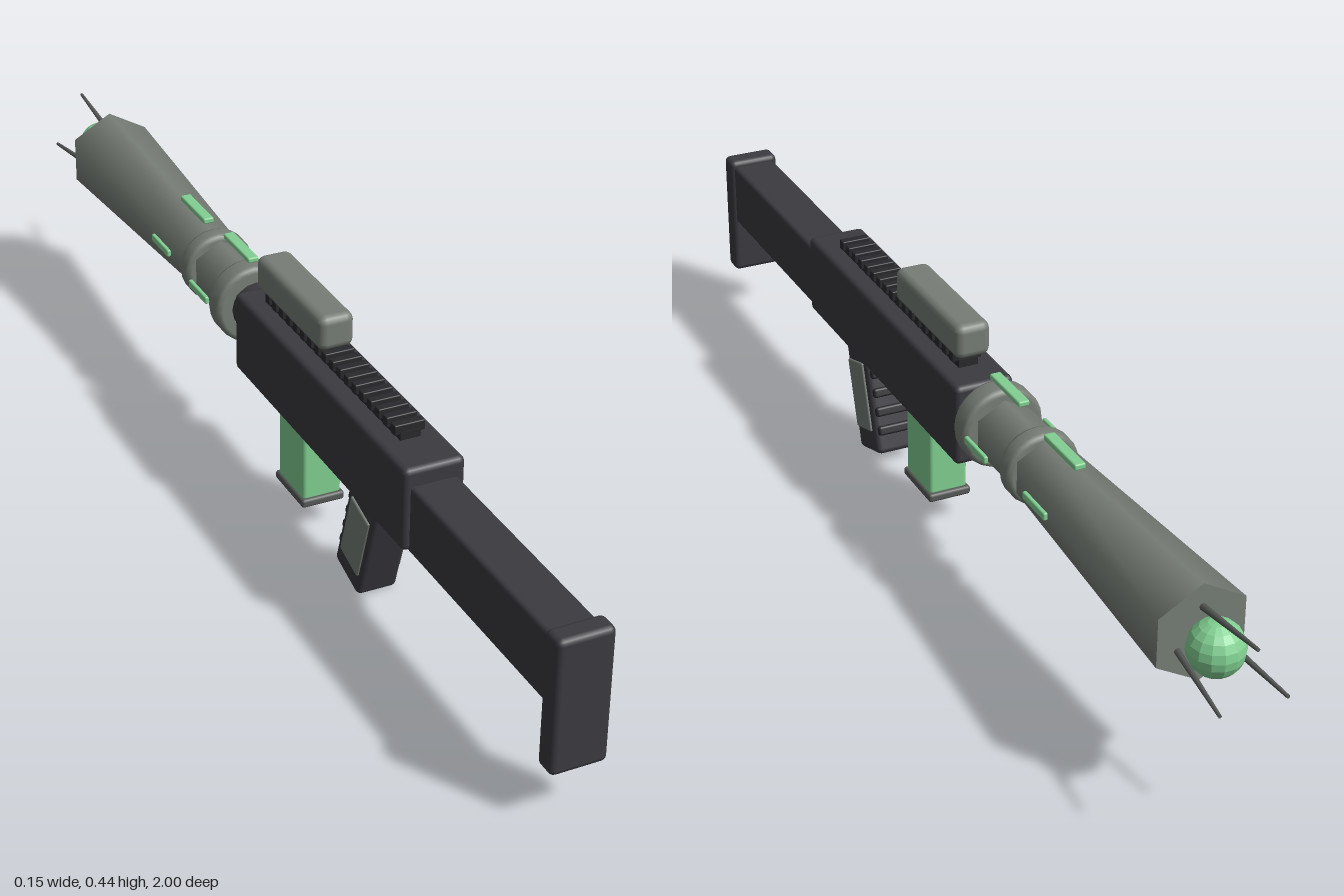
import * as THREE from 'three';
import { RoundedBoxGeometry } from 'three/addons/geometries/RoundedBoxGeometry.js';

const material = (name, color, extra = {}) => {
  const m = new THREE.MeshStandardMaterial({ color, ...extra });
  m.name = name;
  return m;
};

export function createModel() {
  const root = new THREE.Group();
  root.name = 'toyBlaster';
  const dark = material('charcoal', 0x3a3a40);
  const black = material('black', 0x29292d);
  const grey = material('metalGrey', 0x777e76);
  const steel = material('darkSteel', 0x555956);
  const green = material('glowGreen', 0x82d092);
  const orbGreen = material('orbGreen', 0x82d092, { flatShading: true });

  const AXIS = 0.306; // barrel axis height

  const add = (name, geo, mat, parent = root) => {
    const mesh = new THREE.Mesh(geo, mat);
    mesh.name = name;
    parent.add(mesh);
    return mesh;
  };
  // Rounded box from its extents: x centre/width, y range, z range
  const box = (name, mat, width, [y0, y1], [z0, z1], r = 0.008, x = 0, parent = root) => {
    const h = y1 - y0, d = z1 - z0;
    const geo = r > 0 ? new RoundedBoxGeometry(width, h, d, 2, r) : new THREE.BoxGeometry(width, h, d);
    const mesh = add(name, geo, mat, parent);
    mesh.position.set(x, (y0 + y1) / 2, (z0 + z1) / 2);
    return mesh;
  };
  // Tube along z from the rear (zBack) to the muzzle side (zFront)
  const tube = (name, mat, rBack, rFront, zBack, zFront, sides) => {
    const geo = new THREE.CylinderGeometry(rBack, rFront, zBack - zFront, sides).rotateX(Math.PI / 2);
    const mesh = add(name, geo, mat);
    mesh.position.set(0, AXIS, (zBack + zFront) / 2);
    return mesh;
  };
  // Collar with softened edges
  const collar = (name, mat, r, zBack, zFront) => {
    const h = (zBack - zFront) / 2, b = 0.01;
    const profile = [[0, -h], [r - b, -h], [r - 0.003, -h + 0.003], [r, -h + b],
      [r, h - b], [r - 0.003, h - 0.003], [r - b, h], [0, h]].map(([x, y]) => new THREE.Vector2(x, y));
    const mesh = add(name, new THREE.LatheGeometry(profile, 24).rotateX(Math.PI / 2), mat);
    mesh.position.set(0, AXIS, (zBack + zFront) / 2);
  };

  // Stock and body
  box('buttPlate', dark, 0.097, [0.097, 0.337], [0.958, 1.0], 0.01);
  box('stock', dark, 0.084, [0.204, 0.326], [0.48, 0.965], 0.008);
  box('receiver', dark, 0.108, [0.208, 0.358], [-0.115, 0.535], 0.01);

  // Toothed rail
  box('railBase', black, 0.036, [0.352, 0.372], [-0.05, 0.45], 0);
  for (let i = 0; i < 18; i++) {
    const z = 0.44 - i * 0.028;
    box('railTooth', black, 0.054, [0.367, 0.385], [z - 0.008, z + 0.008], 0.002);
  }

  // Sight
  box('sight', grey, 0.064, [0.383, 0.446], [-0.073, 0.187], 0.014);

  // Barrel, six sided with smooth shading
  tube('neck', dark, 0.046, 0.046, -0.1, -0.15, 16);
  collar('rearCollar', grey, 0.074, -0.142, -0.19);
  tube('innerBarrel', grey, 0.056, 0.056, -0.18, -0.31, 6);
  collar('frontCollar', grey, 0.066, -0.298, -0.338);
  tube('flaredBarrel', grey, 0.057, 0.085, -0.32, -0.845, 6);

  // Glowing strips on the top and both sides of the barrel
  box('topStrip', green, 0.02, [0.386, 0.396], [-0.262, -0.152], 0.003);
  box('topStrip', green, 0.02, [0.373, 0.384], [-0.46, -0.35], 0.003);
  for (const s of [-1, 1]) {
    box('sideStrip', green, 0.008, [0.3, 0.314], [-0.27, -0.193], 0.003, s * 0.072);
    box('sideStrip', green, 0.008, [0.3, 0.314], [-0.467, -0.39], 0.003, s * 0.063);
  }

  // Muzzle orb and its three splayed prongs
  const orb = add('orb', new THREE.SphereGeometry(0.046, 14, 10), orbGreen);
  orb.position.set(0, AXIS, -0.888);
  for (let i = 0; i < 3; i++) {
    const a = Math.PI / 2 + i * Math.PI * 2 / 3;
    const at = (r, z) => new THREE.Vector3(Math.cos(a) * r, AXIS + Math.sin(a) * r, z);
    const p0 = at(0.043, -0.83), p1 = at(0.065, -0.999);
    const dir = p1.clone().sub(p0);
    const prong = add('prong', new THREE.CylinderGeometry(0.003, 0.006, dir.length(), 8), steel);
    prong.position.copy(p0).add(p1).multiplyScalar(0.5);
    prong.quaternion.setFromUnitVectors(new THREE.Vector3(0, 1, 0), dir.normalize());
  }

  // Magazine
  box('magazine', green, 0.072, [0.065, 0.197], [0.031, 0.132], 0.007);
  box('magazineBase', steel, 0.08, [0.054, 0.07], [0.024, 0.138], 0.005);

  // Raked grip with side panels and finger ridges
  const grip = new THREE.Group();
  grip.name = 'grip';
  grip.position.set(0, 0.118, 0.333);
  grip.rotation.x = 0.3;
  root.add(grip);
  box('gripCore', dark, 0.074, [-0.108, 0.11], [-0.046, 0.046], 0.01, 0, grip);
  for (const s of [-1, 1]) {
    box('gripPanel', grey, 0.008, [-0.065, 0.065], [-0.03, 0.037], 0.003, s * 0.037, grip);
  }
  for (let i = 0; i < 4; i++) {
    const y = 0.045 - i * 0.036;
    box('fingerRidge', black, 0.064, [y - 0.009, y + 0.009], [-0.053, -0.036], 0.005, 0, grip);
  }

  // Trigger and guard
  box('guardBottom', black, 0.02, [0.161, 0.169], [0.17, 0.285], 0.002);
  box('guardFront', black, 0.02, [0.161, 0.215], [0.17, 0.178], 0.002);
  box('trigger', black, 0.014, [0.172, 0.218], [0.23, 0.24], 0.003).rotation.x = -0.3;

  return root;
}
